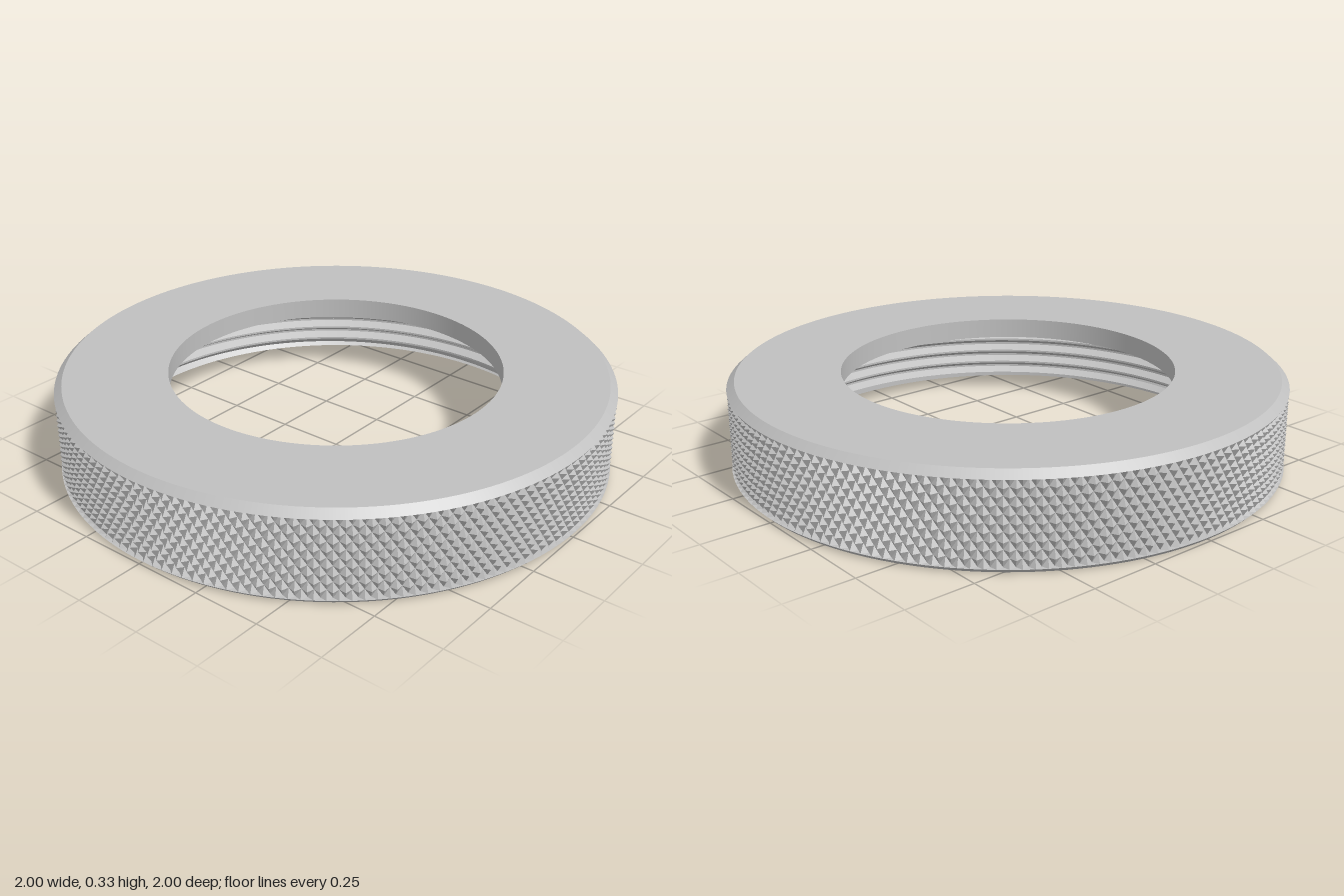
import * as THREE from 'three';
import { toCreasedNormals } from 'three/addons/utils/BufferGeometryUtils.js';

const HEIGHT = 0.33, HOLE = 0.6, BORE = 0.88, FLANGE_Y = 0.256;
const KNURL_LOW = 0.015, KNURL_HIGH = 0.305, KNURL_ROOT = 0.982;

// Surface around the y axis; at(i, j) gives [radius, y], rows ascending face outward
function ringGrid(cols, rows, at) {
  const pos = [], idx = [], n = rows + 1;
  for (let i = 0; i <= cols; i++) {
    const a = (i / cols) * Math.PI * 2;
    for (let j = 0; j <= rows; j++) {
      const [r, y] = at(i, j);
      pos.push(r * Math.sin(a), y, r * Math.cos(a));
    }
  }
  for (let i = 0; i < cols; i++) {
    for (let j = 0; j < rows; j++) {
      const a = i * n + j, b = a + n, c = b + 1, d = a + 1;
      // alternate the diagonal so that it joins corners with an even index sum
      if ((i + j) % 2) idx.push(a, b, d, b, c, d);
      else idx.push(a, b, c, a, c, d);
    }
  }
  const g = new THREE.BufferGeometry();
  g.setAttribute('position', new THREE.Float32BufferAttribute(pos, 3));
  g.setIndex(idx);
  return g;
}

// Diamond knurl: pyramids between two crossing families of V grooves
function knurlGeometry() {
  const rows = 10;
  const g = ringGrid(320, rows, (i, j) => [
    (i + j) % 2 ? 1 : KNURL_ROOT,
    KNURL_LOW + ((KNURL_HIGH - KNURL_LOW) * j) / rows,
  ]).toNonIndexed();
  g.computeVertexNormals();
  return g;
}

// Internal helical thread, running out at both ends of the bore
function threadGeometry() {
  const cols = 128, pitch = 0.05, depth = 0.03;
  const profile = [[0, 0], [0.15, 0], [0.5, 1], [0.65, 1]]; // [part of pitch, groove depth]
  const turns = Math.ceil(FLANGE_Y / pitch) + 2;
  const g = ringGrid(cols, turns * 4, (i, j) => {
    const [f, d] = profile[3 - (j % 4)];
    const raw = (turns - 2 - Math.floor(j / 4) + f + i / cols) * pitch;
    const y = THREE.MathUtils.clamp(raw, 0, FLANGE_Y);
    return [BORE + Math.min(d * depth, y, FLANGE_Y - y), y];
  });
  return toCreasedNormals(g, 0.4);
}

export function createModel() {
  const steel = new THREE.MeshStandardMaterial({ color: 0xc0c0c0 });
  const model = new THREE.Group();
  model.name = 'knurledRingNut';

  const add = (name, geometry) => {
    const mesh = new THREE.Mesh(geometry, steel);
    mesh.name = name;
    model.add(mesh);
  };

  // Plain turned faces, each one a band between two profile points
  const bands = {
    bottomRim: [[BORE, 0], [0.985, 0]],
    bottomChamfer: [[0.985, 0], [1, KNURL_LOW]],
    lowerKnurlLedge: [[1, KNURL_LOW], [KNURL_ROOT, KNURL_LOW]],
    upperKnurlLedge: [[KNURL_ROOT, KNURL_HIGH], [1, KNURL_HIGH]],
    topChamfer: [[1, KNURL_HIGH], [0.972, HEIGHT]],
    topFace: [[0.972, HEIGHT], [HOLE, HEIGHT]],
    holeWall: [[HOLE, HEIGHT], [HOLE, FLANGE_Y]],
    flangeUnderside: [[HOLE, FLANGE_Y], [BORE, FLANGE_Y]],
  };
  for (const [name, pts] of Object.entries(bands)) {
    add(name, new THREE.LatheGeometry(pts.map(([r, y]) => new THREE.Vector2(r, y)), 160));
  }

  add('knurledGrip', knurlGeometry());
  add('internalThread', threadGeometry());
  return model;
}
